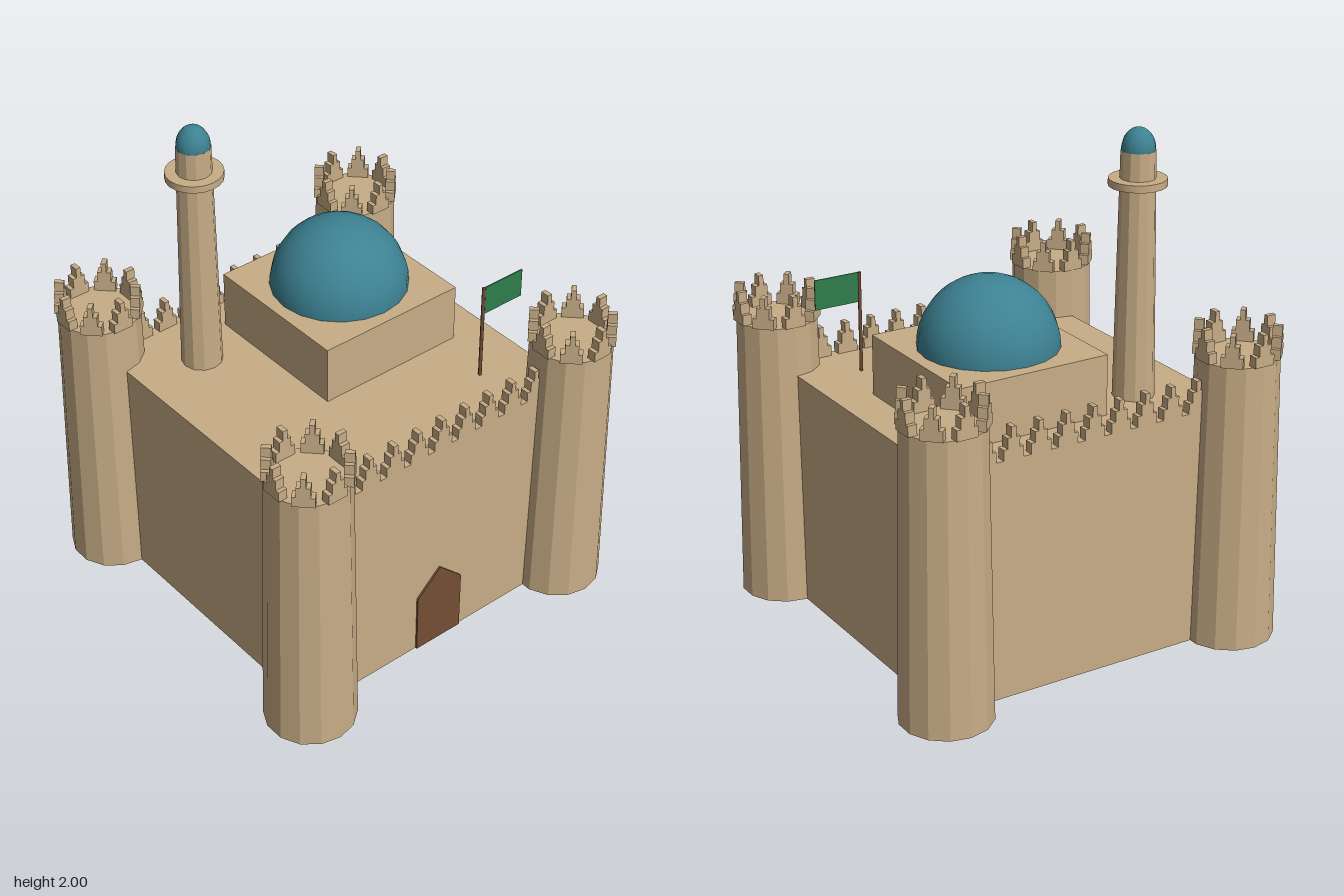
import * as THREE from 'three';

const paint = (name, color) => {
  const m = new THREE.MeshStandardMaterial({ color });
  m.name = name;
  return m;
};

// Gives every facet its own normal
const faceted = (g) => {
  const flat = g.index ? g.toNonIndexed() : g;
  flat.computeVertexNormals();
  return flat;
};

export function createModel() {
  const stone = paint('sandstone', 0xc8ad86);
  const tile = paint('teal tile', 0x3d8293);
  const wood = paint('brown wood', 0x744e35);
  const cloth = paint('green cloth', 0x2f7d4c);

  const model = new THREE.Group();
  model.name = 'fortress';
  const add = (name, geometry, material, x, y, z, parent = model) => {
    const mesh = new THREE.Mesh(geometry, material);
    mesh.name = name;
    mesh.position.set(x, y, z);
    parent.add(mesh);
    return mesh;
  };

  const HALF = 0.636, ROOF = 0.955, TOWER = 1.155;

  // Main block and the raised base under the dome
  add('mainBlock', new THREE.BoxGeometry(HALF * 2, ROOF, HALF * 2), stone, 0, ROOF / 2, 0);
  add('domeBase', new THREE.BoxGeometry(HALF, 0.24, HALF), stone, 0.159, ROOF + 0.12, -0.16);

  // Stepped merlon, three tiers, standing on y = 0
  const tiers = [[0.042, 0.042], [0.026, 0.084], [0.01, 0.125]];
  const outline = [];
  let base = 0;
  for (const [w, top] of tiers) {
    outline.push(new THREE.Vector2(w, base), new THREE.Vector2(w, top));
    base = top;
  }
  const mirrored = outline.map((p) => new THREE.Vector2(-p.x, p.y)).reverse();
  const merlonGeometry = new THREE.ExtrudeGeometry(
    new THREE.Shape([...outline, ...mirrored]), { depth: 0.037, bevelEnabled: false });
  merlonGeometry.translate(0, 0, -0.0185);

  // Battlements along the front and back walls
  for (const side of [1, -1]) {
    for (let i = -5; i <= 5; i++) {
      add('wallMerlon', merlonGeometry, stone, i * HALF * 2 / 11, ROOF, side * (HALF - 0.0185));
    }
  }

  // Four tapered corner towers with a crown of merlons
  const towerGeometry = faceted(new THREE.CylinderGeometry(0.16, 0.18, TOWER, 14));
  for (const sx of [-1, 1]) {
    for (const sz of [-1, 1]) {
      const tower = new THREE.Group();
      tower.name = 'cornerTower';
      tower.position.set(sx * HALF, 0, sz * HALF);
      model.add(tower);
      add('towerShaft', towerGeometry, stone, 0, TOWER / 2, 0, tower);
      for (let i = 0; i < 8; i++) {
        const a = i * Math.PI / 4;
        const merlon = add('towerMerlon', merlonGeometry, stone,
          Math.sin(a) * 0.146, TOWER, Math.cos(a) * 0.146, tower);
        merlon.rotation.y = a;
      }
    }
  }

  // Large dome
  add('dome', new THREE.SphereGeometry(0.27, 20, 10, 0, Math.PI * 2, 0, Math.PI / 2),
    tile, 0.159, 1.195, -0.16);

  // Minaret with balcony ring and small cap dome
  const minaret = new THREE.Group();
  minaret.name = 'minaret';
  minaret.position.set(-0.36, 0, -0.36);
  model.add(minaret);
  add('minaretShaft', faceted(new THREE.CylinderGeometry(0.066, 0.081, 0.96, 12)), stone, 0, 1.435, 0, minaret);
  add('balcony', new THREE.CylinderGeometry(0.11, 0.11, 0.028, 20), stone, 0, 1.796, 0, minaret);
  const cap = add('minaretCap', new THREE.SphereGeometry(0.065, 14, 8, 0, Math.PI * 2, 0, Math.PI / 2),
    tile, 0, 1.915, 0, minaret);
  cap.scale.y = 1.31;

  // Pointed door on the front wall
  const doorShape = new THREE.Shape([
    [-0.11, 0], [0.11, 0], [0.11, 0.26], [0, 0.365], [-0.11, 0.26],
  ].map(([x, y]) => new THREE.Vector2(x, y)));
  add('door', new THREE.ExtrudeGeometry(doorShape, { depth: 0.008, bevelEnabled: false }), wood, 0, 0, HALF);

  // Flag on its pole
  add('flagPole', new THREE.CylinderGeometry(0.007, 0.007, 0.405, 8), wood, 0.397, ROOF + 0.2025, 0.397);
  add('flag', new THREE.BoxGeometry(0.19, 0.12, 0.005), cloth, 0.495, 1.3, 0.397);

  return model;
}
